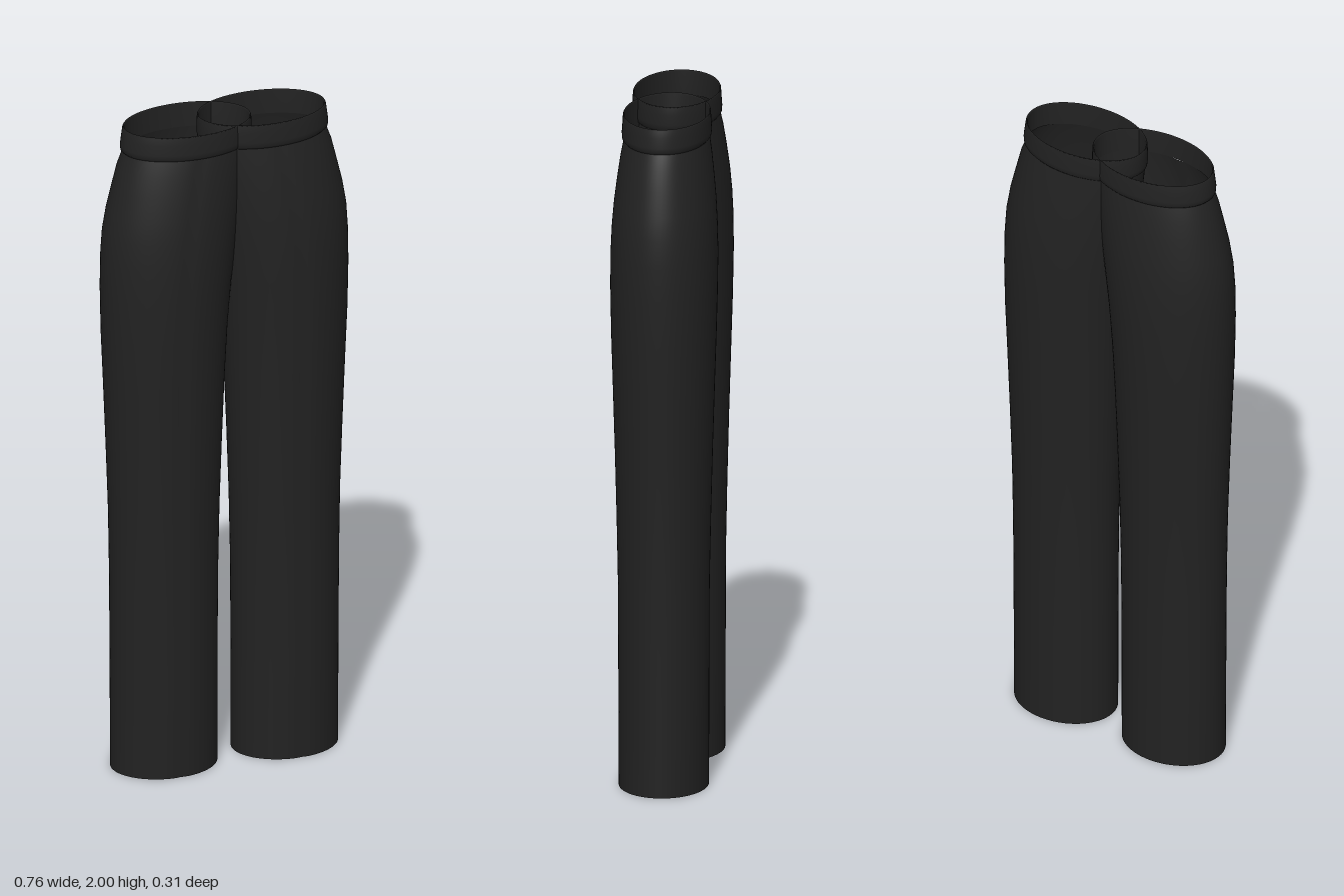
import * as THREE from 'three';

const SEGMENTS = 72;

// Cross-sections of one leg: [height, inner x, outer x, half depth]
const LEG = [
  [0, 0.03, 0.348, 0.13],
  [0.3, 0.03, 0.349, 0.131],
  [0.6, 0.028, 0.351, 0.132],
  [0.8, 0.024, 0.354, 0.136],
  [1.0, 0.017, 0.361, 0.141],
  [1.2, 0.009, 0.369, 0.147],
  [1.36, 0.0, 0.376, 0.152],
  [1.5, -0.012, 0.379, 0.155],
  [1.6, -0.025, 0.378, 0.155],
  [1.68, -0.036, 0.373, 0.152],
  [1.75, -0.046, 0.361, 0.147],
  [1.82, -0.056, 0.344, 0.139],
  [1.88, -0.065, 0.329, 0.131],
  [1.925, -0.071, 0.312, 0.123],
];

// Rounded waistband, from its lower fold over the rim to the inside
const BAND = [
  [1.925, -0.071, 0.312, 0.123],
  [1.931, -0.077, 0.318, 0.128],
  [1.945, -0.079, 0.319, 0.129],
  [1.975, -0.079, 0.315, 0.127],
  [1.996, -0.078, 0.312, 0.126],
  [2.0, -0.076, 0.309, 0.124],
  [1.995, -0.073, 0.306, 0.122],
  [1.925, -0.071, 0.309, 0.122],
];

// Flat floor of the leg, shrinking to its centre
const HEM = [
  [0, 0.189, 0.189, 0],
  [0, 0.03, 0.348, 0.13],
];

// Joins elliptical rings, with a shallow pressed crease down the front if asked
function loft(rings, side, crease) {
  const positions = [];
  const indices = [];
  for (const [y, inner, outer, depth] of rings) {
    const centre = side * (inner + outer) / 2;
    const width = (outer - inner) / 2;
    for (let i = 0; i < SEGMENTS; i++) {
      const a = (i / SEGMENTS) * Math.PI * 2;
      const d = (a - Math.PI / 2) / 0.09;
      const dent = 1 - crease * Math.exp(-d * d);
      positions.push(centre + width * Math.cos(a), y, depth * Math.sin(a) * dent);
    }
  }
  for (let r = 0; r < rings.length - 1; r++) {
    for (let i = 0; i < SEGMENTS; i++) {
      const j = (i + 1) % SEGMENTS;
      const a = r * SEGMENTS + i, b = r * SEGMENTS + j;
      const c = a + SEGMENTS, d = b + SEGMENTS;
      indices.push(a, c, b, b, c, d);
    }
  }
  const geometry = new THREE.BufferGeometry();
  geometry.setAttribute('position', new THREE.Float32BufferAttribute(positions, 3));
  geometry.setIndex(indices);
  geometry.computeVertexNormals();
  return geometry;
}

export function createModel() {
  const model = new THREE.Group();
  model.name = 'trousers';
  const cloth = new THREE.MeshStandardMaterial({ color: 0x222222, side: THREE.DoubleSide });
  cloth.name = 'black cloth';

  // The two legs overlap above the crotch
  for (const [name, side] of [['left', 1], ['right', -1]]) {
    const half = new THREE.Group();
    half.name = name + 'Half';
    const parts = [['Leg', LEG, 0.025], ['Waistband', BAND, 0], ['Hem', HEM, 0.025]];
    for (const [part, rings, crease] of parts) {
      const mesh = new THREE.Mesh(loft(rings, side, crease), cloth);
      mesh.name = name + part;
      half.add(mesh);
    }
    model.add(half);
  }
  return model;
}
